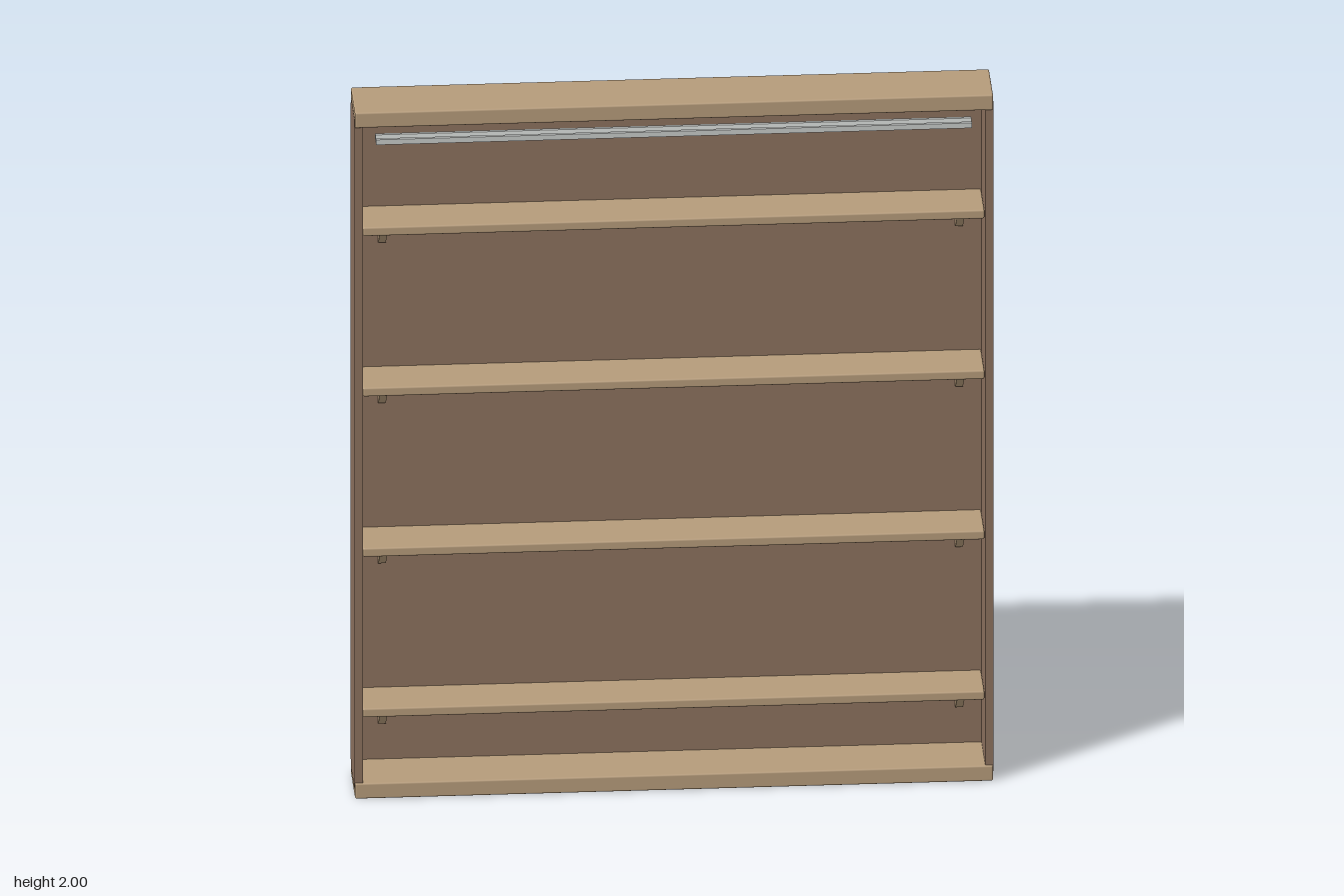
import * as THREE from 'three';
import { RoundedBoxGeometry } from 'three/addons/geometries/RoundedBoxGeometry.js';

export function createModel() {
  const model = new THREE.Group();
  model.name = 'shallowShelfCabinet';

  const material = (name, color) => {
    const m = new THREE.MeshStandardMaterial({ color });
    m.name = name;
    return m;
  };
  const tan = material('lightWood', 0xb59b7a);
  const brown = material('darkWood', 0x8b705d);
  const grey = material('paleMetal', 0xc6c9c7);

  const add = (name, geometry, mat, x = 0, y = 0, z = 0) => {
    const mesh = new THREE.Mesh(geometry, mat);
    mesh.name = name;
    mesh.position.set(x, y, z);
    model.add(mesh);
    return mesh;
  };

  // Extrudes a [z, y] outline along x, centred on x = 0
  const extrudeX = (points, length) => {
    const shape = new THREE.Shape(points.map(([z, y]) => new THREE.Vector2(-z, y)));
    const g = new THREE.ExtrudeGeometry(shape, { depth: length, bevelEnabled: false });
    return g.translate(0, 0, -length / 2).rotateY(Math.PI / 2);
  };

  // Top and bottom boards
  const board = new RoundedBoxGeometry(1.692, 0.045, 0.165, 2, 0.005);
  add('topBoard', board, tan, 0, 1.9775, 0);
  add('bottomBoard', board, tan, 0, 0.0225, 0);

  // Back panel
  add('backPanel', new THREE.BoxGeometry(1.69, 1.92, 0.012), brown, 0, 1, -0.0755);

  // Side panels, narrowed where they lap over the ends of the boards
  const side = extrudeX([
    [-0.07, 0.025], [0.073, 0.025], [0.073, 0.045], [0.078, 0.045],
    [0.078, 1.955], [0.073, 1.955], [0.073, 1.977], [-0.07, 1.977],
    [-0.07, 1.955], [-0.0815, 1.955], [-0.0815, 0.045], [-0.07, 0.045],
  ], 0.0215);
  for (const s of [1, -1]) add(s > 0 ? 'leftSide' : 'rightSide', side, brown, s * 0.836, 0, 0);

  // Shelves, each on a pair of wedge brackets
  const shelf = new RoundedBoxGeometry(1.648, 0.026, 0.138, 2, 0.005);
  const bracket = extrudeX([
    [-0.07, 0], [-0.07, -0.077], [-0.058, -0.077], [0.02, -0.012], [0.02, 0],
  ], 0.02);
  for (let i = 0; i < 4; i++) {
    const y = 0.242 + i * 0.4675;
    add('shelf', shelf, tan, 0, y, -0.003);
    for (const s of [1, -1]) add('shelfBracket', bracket, tan, s * 0.765, y - 0.012, 0);
  }

  // Grooved rail below the top board
  add('rail', extrudeX([
    [0.042, 1.905], [0.082, 1.905], [0.082, 1.92], [0.073, 1.92],
    [0.070, 1.91], [0.054, 1.91], [0.051, 1.92], [0.042, 1.92],
  ], 1.58), grey);

  return model;
}
